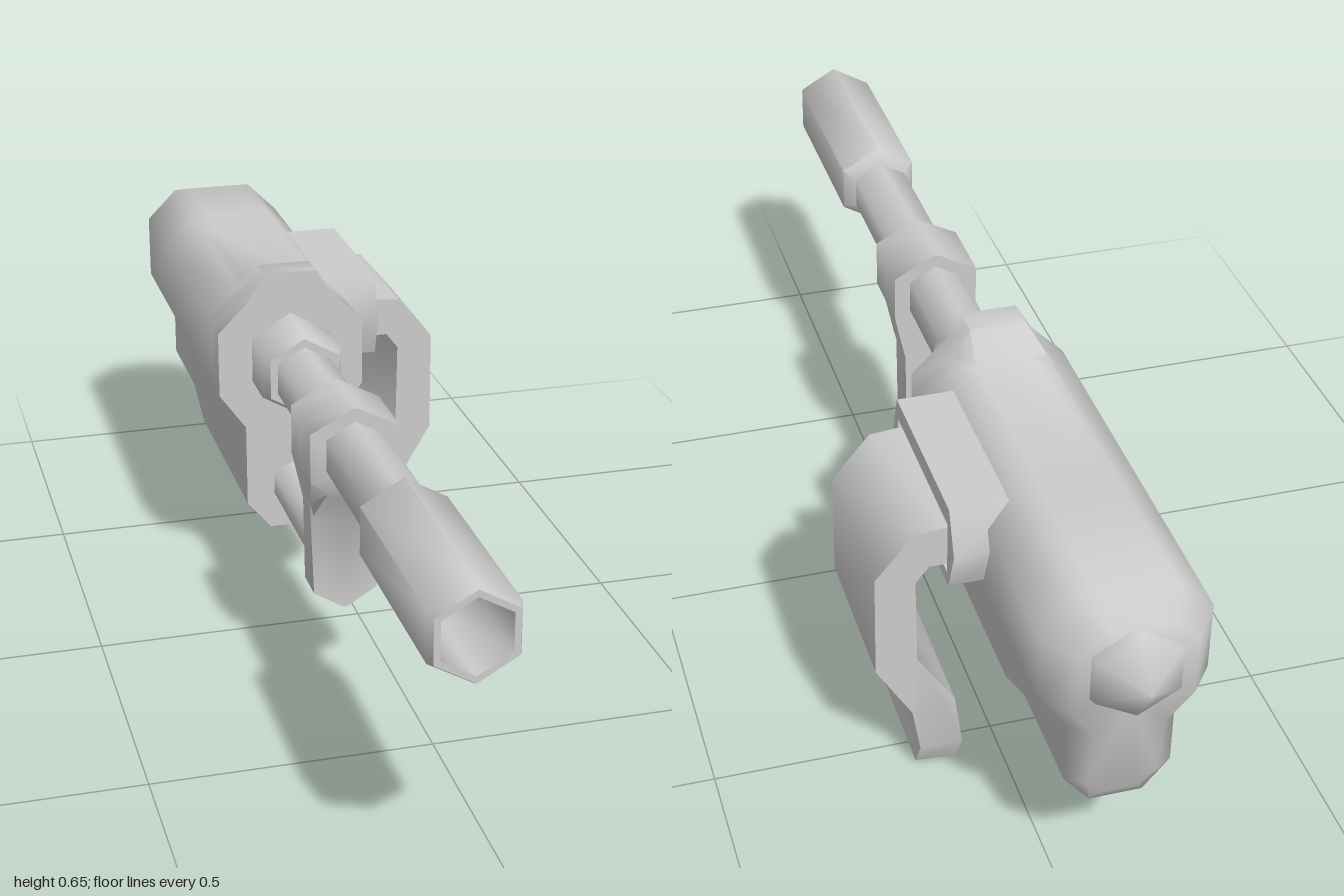
import * as THREE from 'three';
import { toCreasedNormals } from 'three/addons/utils/BufferGeometryUtils.js';

const AXIS_X = -0.09, BORE_Y = 0.488;
const material = new THREE.MeshStandardMaterial({ color: 0xcccccc });

function part(name, geometry) {
  const mesh = new THREE.Mesh(toCreasedNormals(geometry, 1.1), material);
  mesh.name = name;
  return mesh;
}

// Six-sided turned part along z; profile is [radius, z] with z rising on the outside
function hexTurned(name, profile, y = BORE_Y) {
  const g = new THREE.LatheGeometry(profile.map(([r, z]) => new THREE.Vector2(r, z)), 6);
  g.rotateX(Math.PI / 2);
  g.translate(AXIS_X, y, 0);
  return part(name, g);
}

// Mirrored cross-sections running from front to back; half points are [halfWidth, y, optional z]
function loft(name, sections, centreY) {
  const positions = [], index = [];
  const n = sections[0].half.length * 2;
  for (const { z, half } of sections) {
    for (const [w, y, pz = z] of half) positions.push(AXIS_X + w, y, pz);
    for (const [w, y, pz = z] of [...half].reverse()) positions.push(AXIS_X - w, y, pz);
  }
  for (let s = 0; s < sections.length - 1; s++) {
    for (let i = 0; i < n; i++) {
      const a = s * n + i, b = s * n + (i + 1) % n;
      index.push(a, b, a + n, b, b + n, a + n);
    }
  }
  // End caps
  const last = (sections.length - 1) * n, c = sections.length * n;
  positions.push(AXIS_X, centreY, sections[0].z);
  positions.push(AXIS_X, centreY, sections[sections.length - 1].z);
  for (let i = 0; i < n; i++) {
    const j = (i + 1) % n;
    index.push(c, j, i, c + 1, last + i, last + j);
  }
  const g = new THREE.BufferGeometry();
  g.setAttribute('position', new THREE.Float32BufferAttribute(positions, 3));
  g.setIndex(index);
  return part(name, g);
}

const outline = (pts) => pts.map(([x, y]) => new THREE.Vector2(x, y));

function createBody() {
  const half = (topWidth, topY, bottomY) => [
    [topWidth, topY], [0.08, 0.605], [0.14, 0.545], [0.14, 0.42],
    [0.09, 0.35], [0.09, bottomY + 0.055], [0.045, bottomY],
  ];
  const rear = [
    [0.045, 0.575], [0.06, 0.57], [0.1, 0.53], [0.1, 0.42],
    [0.06, 0.36, -0.925], [0.06, 0.24, -0.908], [0.03, 0.205, -0.9],
  ];
  return loft('body', [
    { z: -0.155, half: half(0.05, 0.656, 0.135) },
    { z: -0.21, half: half(0.05, 0.656, 0.135) },
    { z: -0.245, half: half(0.05, 0.606, 0.135) },
    { z: -0.58, half: half(0.05, 0.606, 0.135) },
    { z: -0.68, half: half(0.05, 0.606, 0.18) },
    { z: -0.885, half: half(0.05, 0.606, 0.18) },
    { z: -0.935, half: rear },
  ], 0.42);
}

function createBracket() {
  const top = [[0.005, 0.57], [0.08, 0.53], [0.08, 0.44]];
  const full = [...top, [0.06, 0.35], [0.058, 0.19], [0.005, 0.157]];
  return loft('barrelBracket', [
    { z: 0.318, half: [...top, [0.05, 0.415], [0.03, 0.405], [0.005, 0.4]] },
    { z: 0.25, half: [...top, [0.065, 0.37], [0.058, 0.345], [0.005, 0.335]] },
    { z: 0.248, half: full },
    { z: 0.18, half: full },
  ], 0.45);
}

function createFeedHousing() {
  // Outline in (-z, y), pushed out sideways from the body
  const shape = new THREE.Shape(outline([
    [0.28, 0.43], [0.6, 0.43], [0.63, 0.51], [0.6, 0.585], [0.28, 0.585], [0.255, 0.51],
  ]));
  shape.holes.push(new THREE.Path(outline([
    [0.288, 0.452], [0.288, 0.55], [0.592, 0.55], [0.592, 0.452],
  ])));
  const g = new THREE.ExtrudeGeometry(shape, { depth: 0.12, bevelEnabled: false });
  g.rotateY(Math.PI / 2);
  g.translate(-0.01, 0, 0);
  return part('feedHousing', g);
}

function createFeedBelt() {
  const shape = new THREE.Shape(outline([
    [0, 0.46], [0.137, 0.46], [0.16, 0.43], [0.157, 0.265], [0.09, 0.16], [0.076, 0.06],
    [0.08, 0.002], [0.153, 0.009], [0.151, 0.06], [0.165, 0.145], [0.229, 0.253],
    [0.229, 0.449], [0.162, 0.53], [0.11, 0.535], [0, 0.535],
  ]));
  const g = new THREE.ExtrudeGeometry(shape, { depth: 0.288, bevelEnabled: false });
  g.translate(0, 0, -0.58);
  // Narrow the loose end
  const p = g.attributes.position;
  for (let i = 0; i < p.count; i++) {
    if (p.getY(i) < 0.03) p.setZ(i, p.getZ(i) + (p.getZ(i) < -0.4 ? 0.025 : -0.025));
  }
  return part('feedBelt', g);
}

export function createModel() {
  const model = new THREE.Group();
  model.name = 'heavyGun';
  model.add(
    createBody(),
    createBracket(),
    createFeedHousing(),
    createFeedBelt(),
    // Hollow muzzle
    hexTurned('muzzle', [
      [0, 0.595], [0.06, 0.595], [0.084, 0.615], [0.084, 0.985], [0.077, 1],
      [0.065, 1], [0.062, 0.75], [0, 0.75],
    ]),
    hexTurned('barrel', [[0.059, -0.16], [0.059, 0.6]]),
    hexTurned('barrelCollar', [[0.087, -0.17], [0.087, -0.07], [0.075, -0.045], [0, -0.045]]),
    hexTurned('lowerRod', [[0.042, -0.17], [0.042, 0.2]], 0.227),
    hexTurned('rearCap', [[0, -1], [0.08, -0.95], [0.087, -0.93], [0.087, -0.9]]),
  );
  return model;
}
